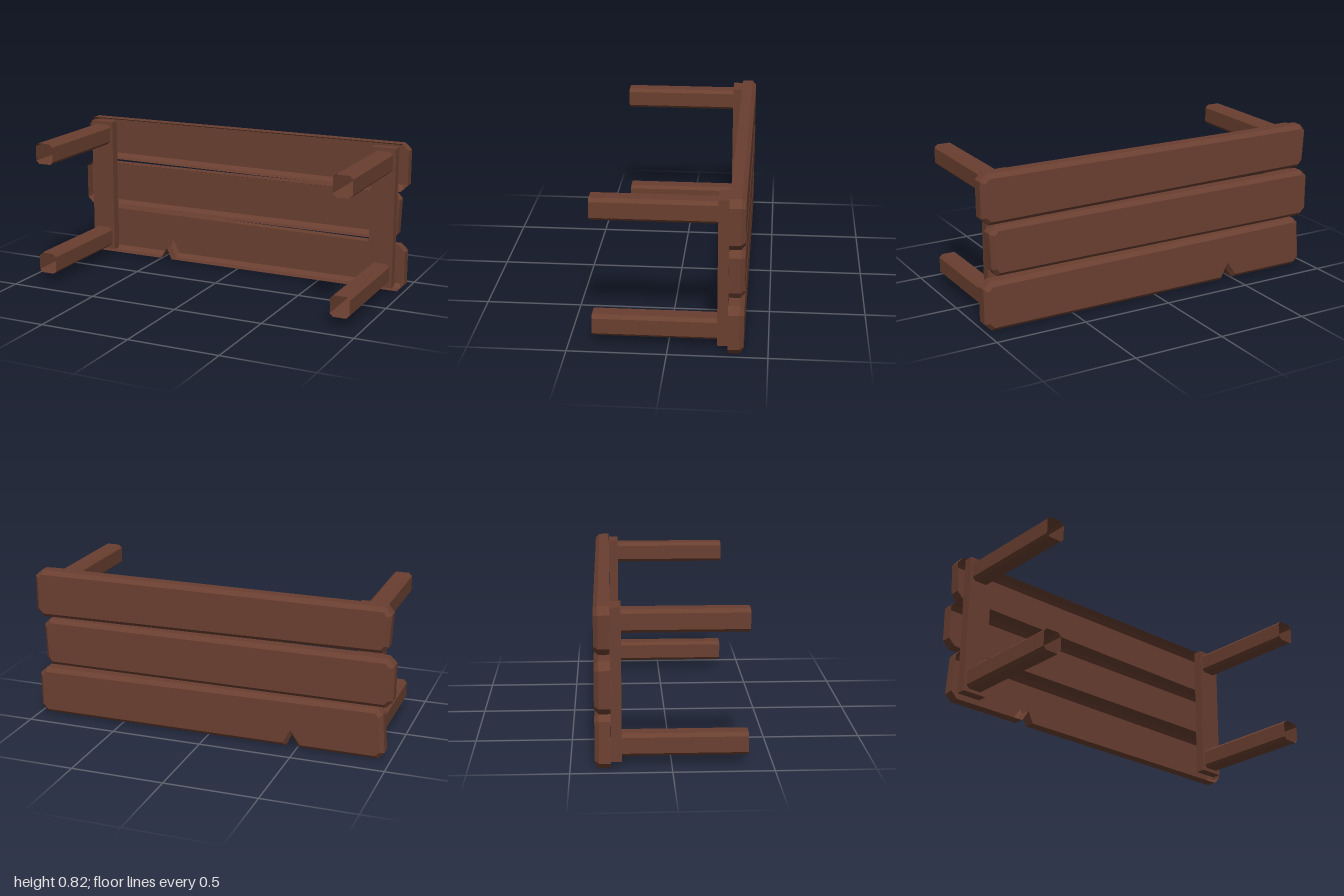
import * as THREE from 'three';

// Moves a counter-clockwise outline inwards, with mitred corners
function inset(outline, d) {
  const n = outline.length;
  return outline.map((p, i) => {
    const a = p.clone().sub(outline[(i + n - 1) % n]).normalize();
    const b = outline[(i + 1) % n].clone().sub(p).normalize();
    const na = new THREE.Vector2(-a.y, a.x), nb = new THREE.Vector2(-b.y, b.x);
    const move = na.clone().add(nb).multiplyScalar(d / (1 + na.dot(nb)));
    return p.clone().add(move.clampLength(0, 0.035));
  });
}

// Skins loops listed from front to back; optionally closes the back
function loft(loops, zs, closeBack) {
  const pos = [];
  const put = (p, z) => pos.push(p.x, p.y, z);
  for (let k = 0; k < loops.length - 1; k++) {
    const f = loops[k], b = loops[k + 1], n = f.length;
    for (let i = 0; i < n; i++) {
      const j = (i + 1) % n;
      put(b[i], zs[k + 1]); put(b[j], zs[k + 1]); put(f[j], zs[k]);
      put(b[i], zs[k + 1]); put(f[j], zs[k]); put(f[i], zs[k]);
    }
  }
  if (closeBack) {
    const last = loops[loops.length - 1], z = zs[zs.length - 1];
    for (const [a, b, c] of THREE.ShapeUtils.triangulateShape(last, [])) {
      put(last[a], z); put(last[c], z); put(last[b], z);
    }
  }
  const geo = new THREE.BufferGeometry();
  geo.setAttribute('position', new THREE.Float32BufferAttribute(pos, 3));
  geo.computeVertexNormals();
  return geo;
}

const toPoints = (list) => list.map(([x, y]) => new THREE.Vector2(x, y));

// Rectangle with cut corners, counter-clockwise
function cutRect(x0, x1, y0, y1, c) {
  return toPoints([
    [x0 + c, y0], [x1 - c, y0], [x1, y0 + c], [x1, y1 - c],
    [x1 - c, y1], [x0 + c, y1], [x0, y1 - c], [x0, y0 + c],
  ]);
}

export function createModel() {
  const group = new THREE.Group();
  const wood = new THREE.MeshStandardMaterial({ color: 0x6a3f30 });
  wood.name = 'brownWood';
  wood.flatShading = true;
  wood.side = THREE.DoubleSide;

  const add = (name, geo) => {
    const mesh = new THREE.Mesh(geo, wood);
    mesh.name = name;
    group.add(mesh);
    return mesh;
  };

  // Table top boards, upright because the table lies on its side; hollow in front
  const boards = {
    upperBoard: [
      [-0.935, 0.578], [0.962, 0.562], [1, 0.6], [1, 0.79],
      [0.962, 0.825], [-0.943, 0.82], [-0.975, 0.78], [-0.965, 0.612],
    ],
    middleBoard: [
      [-0.962, 0.288], [0.925, 0.288], [0.952, 0.325], [0.96, 0.515],
      [0.925, 0.552], [-0.962, 0.552], [-1, 0.515], [-1, 0.325],
    ],
    // Has a chipped notch in its lower edge
    lowerBoard: [
      [-0.93, 0], [-0.505, 0], [-0.465, 0.065], [-0.435, 0], [0.962, 0],
      [1, 0.04], [1, 0.228], [0.962, 0.263], [-0.92, 0.277], [-0.95, 0.245], [-0.965, 0.035],
    ],
  };
  for (const [name, list] of Object.entries(boards)) {
    const outline = toPoints(list);
    add(name, loft([outline, outline, inset(outline, 0.021)], [-0.3, -0.357, -0.379], true));
  }

  // Cross supports with two hollow, open-ended legs each
  for (const [side, x] of [['right', -0.86], ['left', 0.878]]) {
    const support = add(side + 'Support', new THREE.BoxGeometry(0.137, 0.778, 0.053));
    support.position.set(x, 0.42, -0.2725);
    for (const [level, y] of [['Upper', 0.675], ['Lower', 0.05]]) {
      const section = cutRect(x - 0.053, x + 0.053, y, y + 0.115, 0.017);
      add(side + level + 'Leg', loft([section, section], [0.379, -0.246], false));
    }
  }
  return group;
}
